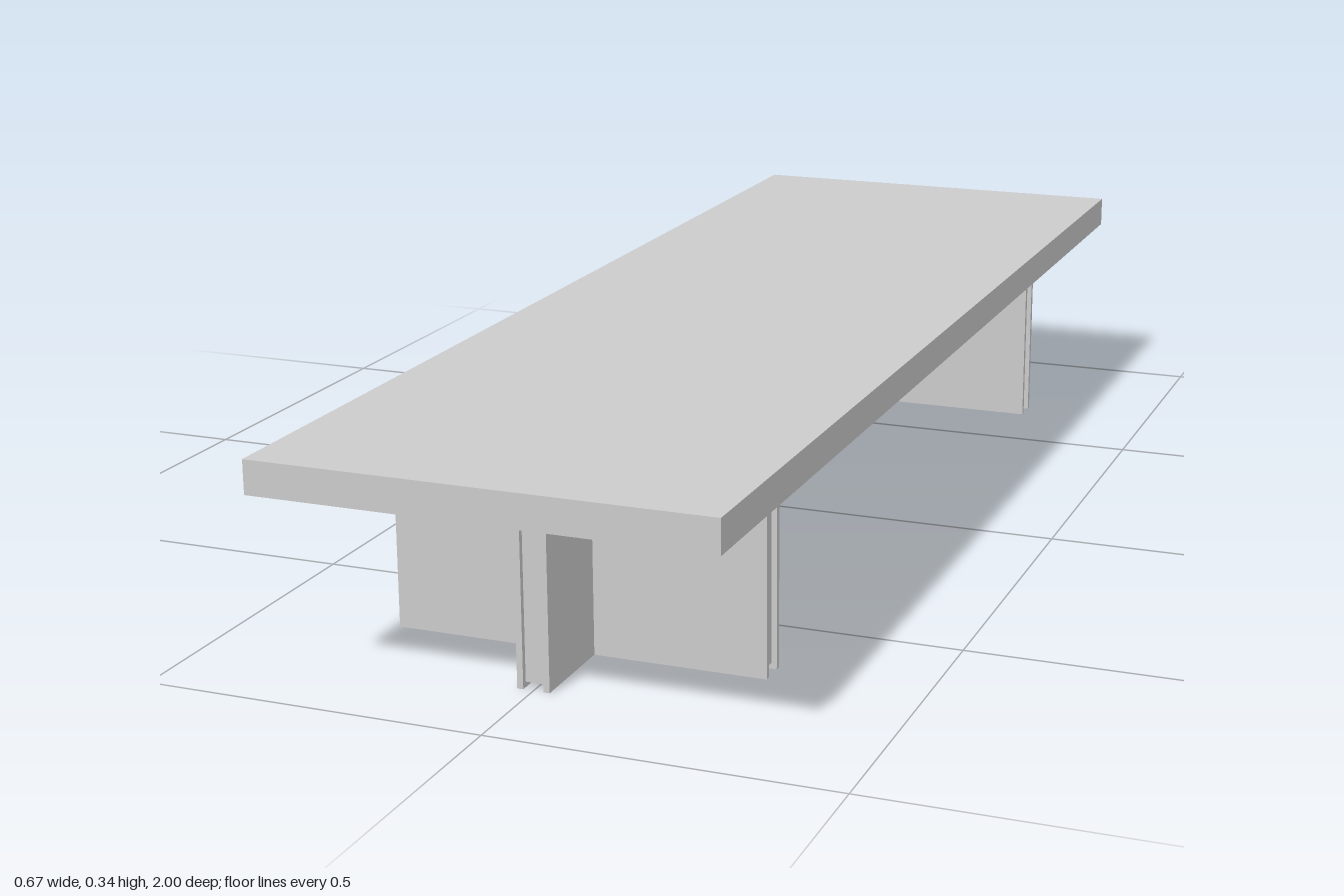
import * as THREE from 'three';

export function createModel() {
  const group = new THREE.Group();
  const material = new THREE.MeshStandardMaterial({ color: 0xcccccc });

  // Box given by its lower and upper limits on each axis
  const box = (name, [x0, x1], [y0, y1], [z0, z1]) => {
    const mesh = new THREE.Mesh(new THREE.BoxGeometry(x1 - x0, y1 - y0, z1 - z0), material);
    mesh.position.set((x0 + x1) / 2, (y0 + y1) / 2, (z0 + z1) / 2);
    mesh.name = name;
    group.add(mesh);
  };

  const under = 0.287, top = 0.336;      // table top limits
  const outer = 0.024, inner = 0.015;    // half widths of a panel and of its groove
  const groove = 0.008;                  // groove depth along bottom and ends
  const beamEnd = 0.843, legEnd = 0.28, legZ = 0.672;

  box('tableTop', [-0.333, 0.333], [under, top], [-1, 1]);

  // Lengthwise panel: recessed core between two skins
  box('beamCore', [-inner, inner], [groove, under], [-beamEnd + groove, beamEnd - groove]);
  for (const s of [-1, 1]) {
    const x = s > 0 ? [inner, outer] : [-outer, -inner];
    // The skins are split where the cross panels' grooves run through
    box('beamSkinMiddle', x, [0, under], [-legZ + inner, legZ - inner]);
    box('beamSkinFront', x, [0, under], [legZ + inner, beamEnd]);
    box('beamSkinBack', x, [0, under], [-beamEnd, -legZ - inner]);
  }

  // Two cross panels, built the same way
  for (const z of [-legZ, legZ]) {
    box('crossLegCore', [-legEnd + groove, legEnd - groove], [groove, under], [z - inner, z + inner]);
    for (const x of [[outer, legEnd], [-legEnd, -outer]]) {
      box('crossLegSkin', x, [0, under], [z + inner, z + outer]);
      box('crossLegSkin', x, [0, under], [z - outer, z - inner]);
    }
  }
  return group;
}
